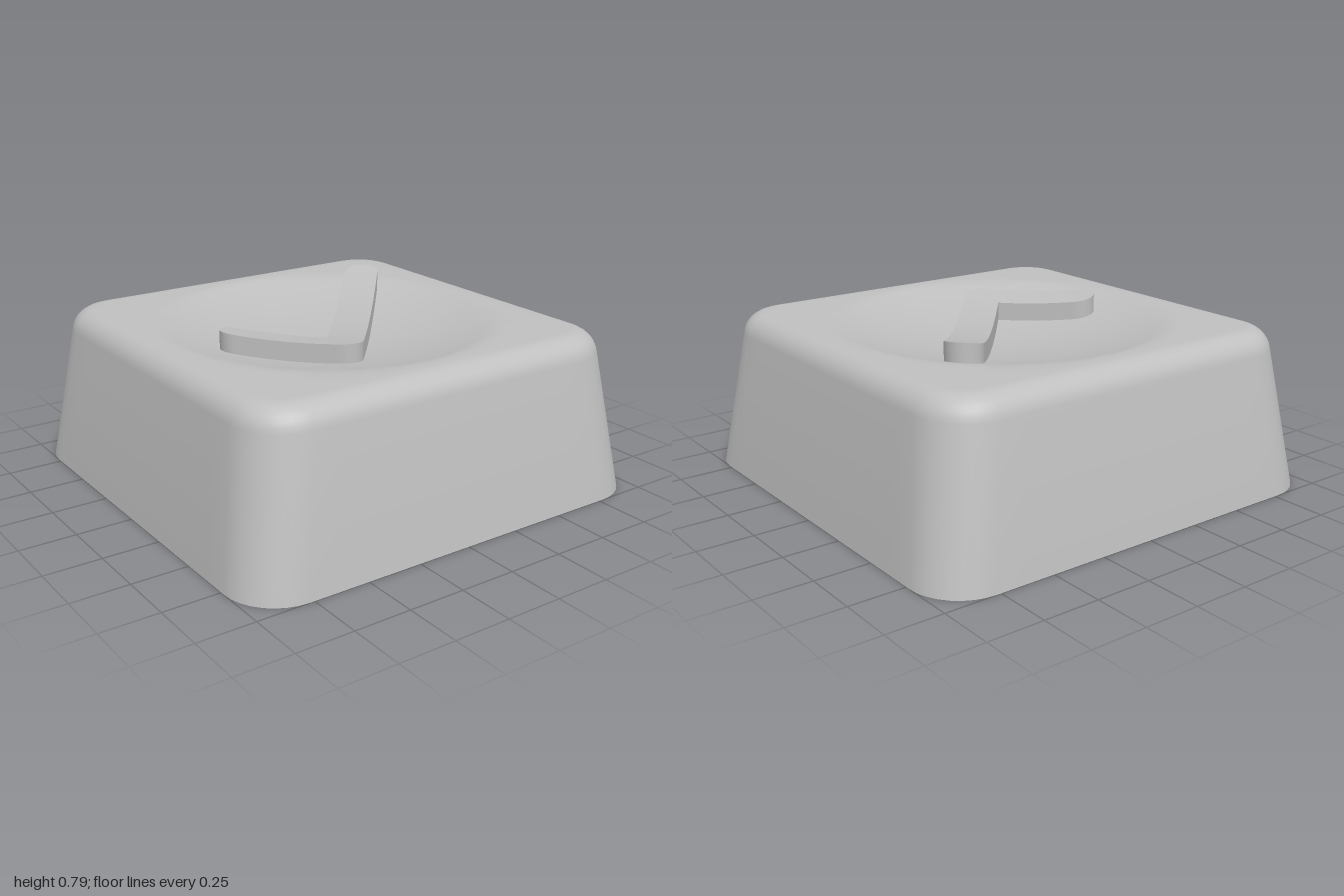
import * as THREE from 'three';
import { toCreasedNormals } from 'three/addons/utils/BufferGeometryUtils.js';

const TOP = 0.72;
const RIM = { half: 0.797, radius: 0.12 };   // edge of the flat top
const DISH_LOW = 0.615, DISH_CURVE = 0.19;

// Height of the scooped bowl at a point
const bowl = (x, z) => DISH_LOW + DISH_CURVE * (x * x + z * z);

// Rows of points joined by quads; closed rows wrap around
function loft(rows, closed, crease) {
  const n = rows[0].length, index = [];
  const last = closed ? n : n - 1;
  for (let j = 0; j < rows.length - 1; j++) {
    for (let i = 0; i < last; i++) {
      const a = j * n + i, b = j * n + (i + 1) % n, c = b + n, d = a + n;
      index.push(a, b, c, a, c, d);
    }
  }
  const geometry = new THREE.BufferGeometry();
  geometry.setAttribute('position', new THREE.Float32BufferAttribute(rows.flat(2), 3));
  geometry.setIndex(index);
  return toCreasedNormals(geometry, crease);
}

// Rounded square outline, counter-clockwise from above
function ring(half, radius, y, dished = false) {
  const points = [], arc = 8, side = 12, core = half - radius;
  for (let q = 0; q < 4; q++) {
    const turn = q * Math.PI / 2, c = Math.cos(turn), s = Math.sin(turn);
    const add = (u, v) => {
      const x = u * c - v * s, z = -(u * s + v * c);
      points.push([x, dished ? Math.min(TOP, bowl(x, z)) : y, z]);
    };
    for (let i = 0; i < side; i++) add(half, core * (2 * i / side - 1));
    for (let i = 0; i < arc; i++) {
      const a = i / arc * Math.PI / 2;
      add(core + radius * Math.cos(a), core + radius * Math.sin(a));
    }
  }
  return points;
}

// Hollow cap: ceiling, chamfer, inner wall, rim, outer wall, fillet, dished top
function capGeometry() {
  const rows = [
    ring(0, 0, 0.47), ring(0.745, 0.06, 0.47), ring(0.81, 0.07, 0.37),
    ring(0.866, 0.08, 0), ring(1, 0.23, 0),
  ];
  const fillet = 0.11, start = 0.149, steps = 7;
  for (let i = 0; i <= steps; i++) {
    const a = start + (Math.PI / 2 - start) * i / steps;
    const out = fillet * Math.cos(a);
    rows.push(ring(RIM.half + out, RIM.radius + out, TOP - fillet + fillet * Math.sin(a)));
  }
  const count = 26;
  for (let i = count - 1; i >= 0; i--) {
    const s = i / count;
    rows.push(ring(RIM.half * s, RIM.radius * s, 0, true));
  }
  return loft(rows, true, 0.42);
}

// Raised tick: left/right edge pairs run from the short tip to the long tip
function tickGeometry() {
  const w = 0.081, thickness = 0.083;
  const shortTip = [-0.48, -0.04], bend = [-0.165, -0.363], longTip = [0.48, 0.395];
  const d1 = Math.atan2(shortTip[1] - bend[1], shortTip[0] - bend[0]);
  const d2 = Math.atan2(longTip[1] - bend[1], longTip[0] - bend[0]);
  const H = Math.PI / 2, N = 8, pairs = [];
  const polar = (p, a, r = w) => [p[0] + r * Math.cos(a), p[1] + r * Math.sin(a)];
  const mix = (p, q, t) => [p[0] + (q[0] - p[0]) * t, p[1] + (q[1] - p[1]) * t];
  const straight = (l, r) => {
    const [l0, r0] = pairs[pairs.length - 1];
    for (let i = 1; i <= 14; i++) pairs.push([mix(l0, l, i / 14), mix(r0, r, i / 14)]);
  };
  const inner = polar(bend, (d1 + d2) / 2, w / Math.sin((d1 - d2) / 2));

  for (let i = 0; i <= N; i++) pairs.push([polar(shortTip, d1 - H * i / N), polar(shortTip, d1 + H * i / N)]);
  straight(inner, polar(bend, d1 + H));
  for (let i = 1; i <= N; i++) pairs.push([inner, polar(bend, d1 + H + (d2 + 2 * H - d1) * i / N)]);
  straight(polar(longTip, d2 + H), polar(longTip, d2 - H));
  for (let i = N - 1; i >= 0; i--) pairs.push([polar(longTip, d2 + H * i / N), polar(longTip, d2 - H * i / N)]);

  const at = ([x, y], lift) => [x, bowl(x, y) + lift, -y];
  const rows = pairs.map(([l, r]) => [at(l, -0.03), at(l, thickness), at(r, thickness), at(r, -0.03)]);
  return loft(rows, false, 0.5);
}

// Rectangular stem with a cross-shaped socket
function stemGeometry() {
  const hx = 0.385, hz = 0.3, ax = 0.27, az = 0.245, t = 0.083;
  const points = list => list.map(([x, y]) => new THREE.Vector2(x, y));
  const shape = new THREE.Shape(points([[-hx, -hz], [hx, -hz], [hx, hz], [-hx, hz]]));
  shape.holes.push(new THREE.Path(points([
    [ax, -t], [ax, t], [t, t], [t, az], [-t, az], [-t, t],
    [-ax, t], [-ax, -t], [-t, -t], [-t, -az], [t, -az], [t, -t],
  ])));
  return new THREE.ExtrudeGeometry(shape, { depth: 0.475, bevelEnabled: false }).rotateX(-Math.PI / 2);
}

export function createModel() {
  const model = new THREE.Group();
  model.name = 'keycap';
  const plastic = new THREE.MeshStandardMaterial({ color: 0xbfbfbf });
  plastic.name = 'grey plastic';

  const parts = { capShell: capGeometry(), raisedTick: tickGeometry(), stem: stemGeometry() };
  for (const [name, geometry] of Object.entries(parts)) {
    const mesh = new THREE.Mesh(geometry, plastic);
    mesh.name = name;
    model.add(mesh);
  }
  return model;
}
